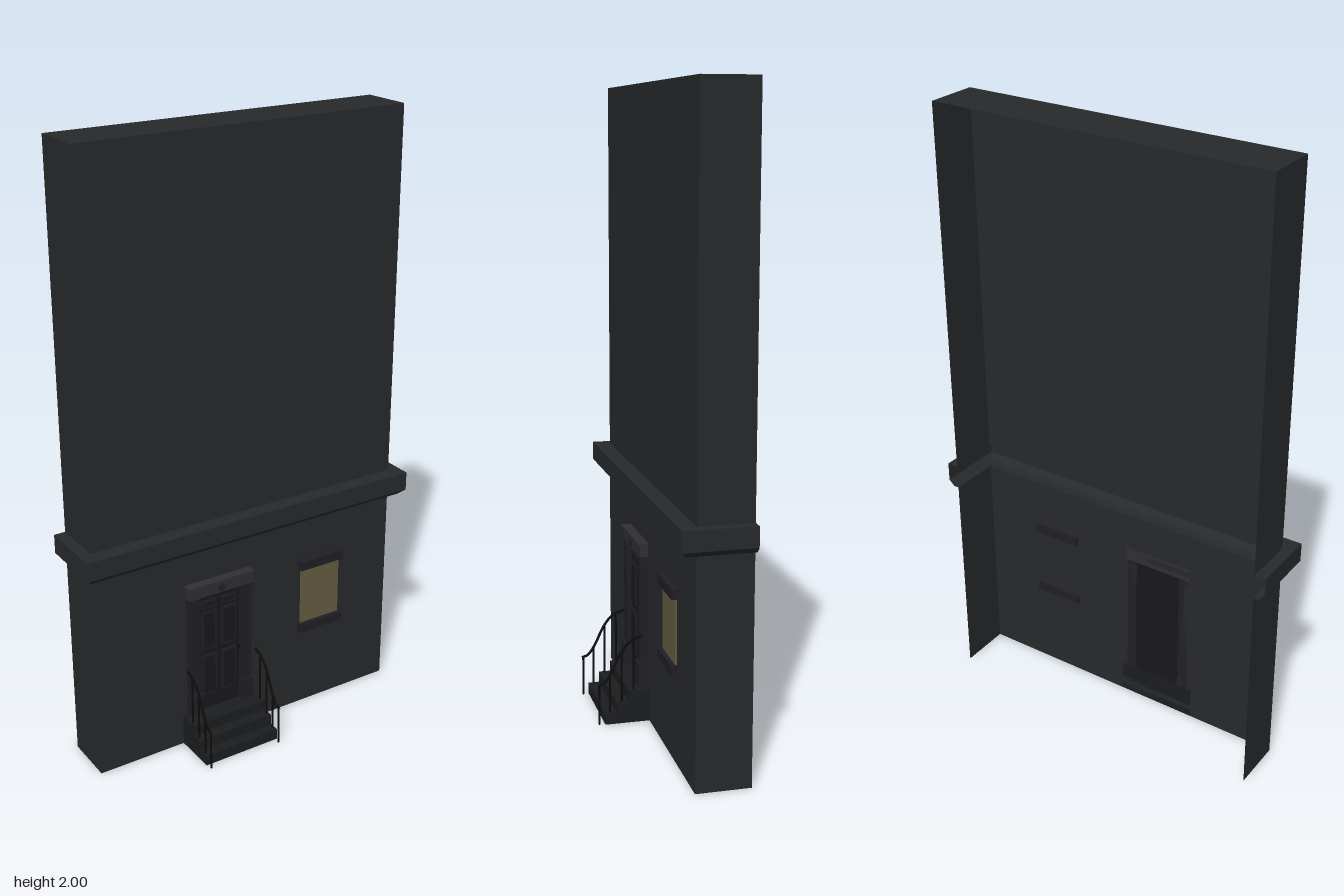
import * as THREE from 'three';

const mat = (color, side = THREE.FrontSide) => new THREE.MeshStandardMaterial({ color, side, roughness: 0.9 });
const wallMat = mat(0x27292b, THREE.DoubleSide);
const trimMat = mat(0x1f1f25);
const lintelMat = mat(0x303033);
const doorMat = mat(0x18181b);
const stoneMat = mat(0x1c1d1f);
const ironMat = mat(0x0d0d0e);
const glassMat = mat(0x655c40);

const BACK = -0.17, HALF = 0.555;

// Box given by its limits on each axis
function box(parent, name, material, [x0, x1], [y0, y1], [z0, z1]) {
  const m = new THREE.Mesh(new THREE.BoxGeometry(x1 - x0, y1 - y0, z1 - z0), material);
  m.position.set((x0 + x1) / 2, (y0 + y1) / 2, (z0 + z1) / 2);
  m.name = name;
  parent.add(m);
  return m;
}

function cylinder(parent, name, material, r, h, x, y, z, sides = 8) {
  const m = new THREE.Mesh(new THREE.CylinderGeometry(r, r, h, sides), material);
  m.position.set(x, y, z);
  m.name = name;
  parent.add(m);
  return m;
}

// Open-backed wall shell: a profile swept around three sides, with a cornice fold
function facadeShell() {
  // [side offset, front offset, height]
  const profile = [
    [0, 0, 0], [0, 0, 0.71], [0.018, 0.034, 0.71], [0.037, 0.052, 0.728],
    [0.037, 0.052, 0.79], [0, 0, 0.79], [0, 0, 2],
  ];
  const ring = ([s, f, y]) => [
    [-HALF - s, y, BACK], [-HALF - s, y, f], [HALF + s, y, f], [HALF + s, y, BACK],
  ];
  const pos = [];
  const quad = (a, b, c, d) => [a, b, c, a, c, d].forEach((p) => pos.push(...p));
  for (let i = 0; i < profile.length - 1; i++) {
    const lo = ring(profile[i]), hi = ring(profile[i + 1]);
    for (let k = 0; k < 3; k++) quad(lo[k], lo[k + 1], hi[k + 1], hi[k]);
  }
  const [a, b, c, d] = ring(profile[profile.length - 1]);
  quad(a, b, c, d);
  const g = new THREE.BufferGeometry();
  g.setAttribute('position', new THREE.Float32BufferAttribute(pos, 3));
  g.computeVertexNormals();
  const m = new THREE.Mesh(g, wallMat);
  m.name = 'facadeShell';
  return m;
}

function doorway() {
  const g = new THREE.Group();
  g.name = 'doorway';
  const cx = -0.118;
  box(g, 'doorSlab', doorMat, [cx - 0.08, cx + 0.08], [0.11, 0.54], [-0.001, 0.006]);
  for (const s of [-1, 1]) {
    const span = (a, b) => [cx + Math.min(s * a, s * b), cx + Math.max(s * a, s * b)];
    box(g, 'jamb', trimMat, span(0.078, 0.115), [0.11, 0.54], [0, 0.024]);
    box(g, 'jambBase', trimMat, span(0.076, 0.117), [0.11, 0.188], [0, 0.033]);
    box(g, 'jambCap', trimMat, span(0.076, 0.117), [0.525, 0.54], [0, 0.028]);
    // Raised panels with a moulded border
    for (const [y0, y1] of [[0.165, 0.315], [0.335, 0.475], [0.485, 0.515]]) {
      box(g, 'panelMoulding', trimMat, span(0.008, 0.066), [y0, y1], [0.005, 0.01]);
      box(g, 'panel', doorMat, span(0.018, 0.056), [y0 + 0.009, y1 - 0.009], [0.005, 0.013]);
    }
  }
  box(g, 'doorHead', lintelMat, [cx - 0.118, cx + 0.118], [0.54, 0.577], [0, 0.026]);
  box(g, 'doorHeadCap', lintelMat, [cx - 0.12, cx + 0.12], [0.575, 0.585], [0, 0.032]);
  const rosette = cylinder(g, 'rosette', trimMat, 0.012, 0.006, cx, 0.558, 0.028, 16);
  rosette.rotation.x = Math.PI / 2;
  const knob = new THREE.Mesh(new THREE.SphereGeometry(0.006, 12, 8), ironMat);
  knob.position.set(cx + 0.07, 0.31, 0.014);
  knob.name = 'doorKnob';
  g.add(knob);
  return g;
}

function windowUnit() {
  const g = new THREE.Group();
  g.name = 'window';
  box(g, 'windowPane', glassMat, [0.203, 0.355], [0.31, 0.522], [0.001, 0.006]);
  box(g, 'windowLintel', trimMat, [0.196, 0.362], [0.518, 0.55], [-0.008, 0.02]);
  box(g, 'windowSill', trimMat, [0.196, 0.362], [0.284, 0.314], [-0.008, 0.02]);
  return g;
}

function stoop() {
  const g = new THREE.Group();
  g.name = 'stoop';
  // Three stacked steps up to the door
  [0.145, 0.108, 0.07].forEach((z, i) =>
    box(g, 'step', stoneMat, [-0.252, 0.02], [i * 0.036, (i + 1) * 0.036], [0, z]));

  // A curved handrail on iron posts at each side
  for (const x of [-0.245, 0.013]) {
    const rail = new THREE.Group();
    rail.name = 'railing';
    for (const [z, y0, y1] of [[0.163, 0, 0.133], [0.128, 0.036, 0.16], [0.09, 0.072, 0.238], [0.051, 0.108, 0.276]])
      cylinder(rail, 'railPost', ironMat, 0.0035, y1 - y0, x, (y0 + y1) / 2, z);
    const path = new THREE.CatmullRomCurve3(
      [[0.168, 0.131], [0.148, 0.137], [0.125, 0.168], [0.09, 0.238], [0.058, 0.273], [0.022, 0.285]]
        .map(([z, y]) => new THREE.Vector3(x, y, z)));
    const bar = new THREE.Mesh(new THREE.TubeGeometry(path, 28, 0.0045, 8), ironMat);
    bar.name = 'handrail';
    rail.add(bar);
    g.add(rail);
  }
  return g;
}

export function createModel() {
  const model = new THREE.Group();
  model.name = 'townhouseFacade';
  model.add(facadeShell(), doorway(), windowUnit(), stoop());
  return model;
}
